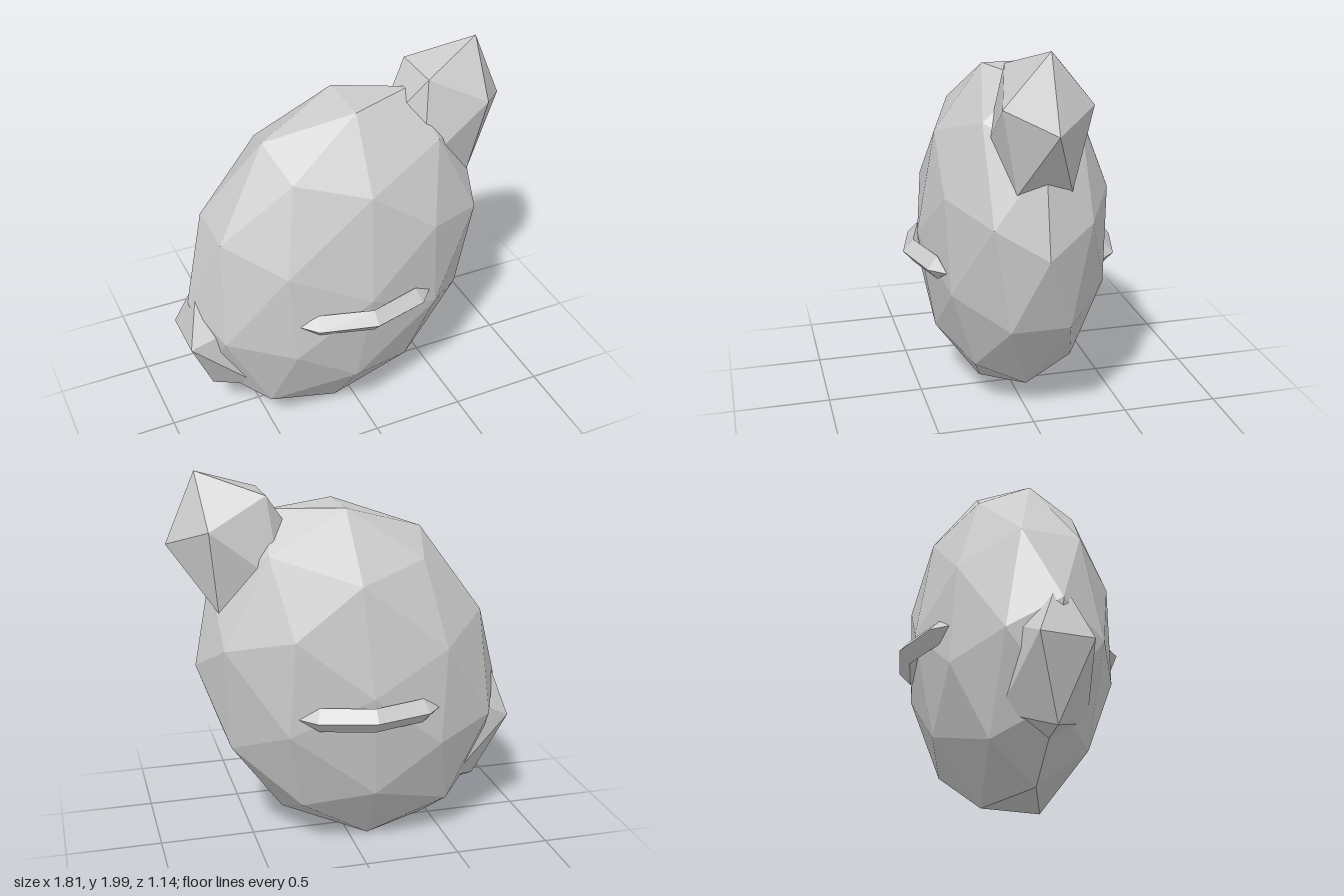
import * as THREE from 'three';

const material = new THREE.MeshStandardMaterial({ color: 0xcccccc, flatShading: true });

// Faceted ball, stretched and tilted in the xy plane by its two axes
function facetedBall(name, detail, center, xAxis, yAxis, depth) {
  const geometry = new THREE.IcosahedronGeometry(1, detail);
  geometry.applyMatrix4(new THREE.Matrix4().makeBasis(
    new THREE.Vector3(...xAxis, 0),
    new THREE.Vector3(...yAxis, 0),
    new THREE.Vector3(0, 0, depth)
  ));
  geometry.computeVertexNormals();
  const mesh = new THREE.Mesh(geometry, material);
  mesh.name = name;
  mesh.position.set(...center, 0);
  return mesh;
}

// Curved bar with a diamond cross-section and pointed ends
function sideBarGeometry() {
  // x, z, outward lean, radius
  const sections = [
    [-0.37, 0.41, 0, 0],
    [-0.27, 0.44, -0.4, 1],
    [0, 0.515, 0, 1],
    [0.27, 0.44, 0.4, 1],
    [0.37, 0.41, 0, 0],
  ];
  const positions = [];
  const index = [];
  for (const [x, z, lean, r] of sections) {
    for (let k = 0; k < 4; k++) {
      const out = Math.cos(k * Math.PI / 2) * 0.055 * r;
      const up = Math.sin(k * Math.PI / 2) * 0.063 * r;
      positions.push(x + out * lean, up, z + out);
    }
  }
  const last = sections.length - 2;
  for (let i = 0; i <= last; i++) {
    for (let k = 0; k < 4; k++) {
      const n = (k + 1) % 4;
      const a = i * 4 + k, b = a + 4, c = i * 4 + 4 + n, d = i * 4 + n;
      if (i < last) index.push(a, b, c);
      if (i > 0) index.push(a, c, d);
    }
  }
  const geometry = new THREE.BufferGeometry();
  geometry.setAttribute('position', new THREE.Float32BufferAttribute(positions, 3));
  geometry.setIndex(index);
  const flat = geometry.toNonIndexed();
  flat.computeVertexNormals();
  return flat;
}

export function createModel() {
  const model = new THREE.Group();
  model.name = 'model';

  // Main body with a knob at the upper corner and one at the lower corner
  model.add(
    facetedBall('body', 1, [-0.04, 0.903], [-0.377, 0.757], [-0.73, -0.575], 0.492),
    facetedBall('upperKnob', 0, [0.545, 1.592], [0.147, -0.341], [0.333, 0.266], 0.257),
    facetedBall('lowerKnob', 0, [-0.585, 0.542], [0.37, -0.072], [-0.027, 0.426], 0.257)
  );

  // Matching bars on the front and the back
  const bar = sideBarGeometry();
  ['frontBar', 'backBar'].forEach((name, i) => {
    const mesh = new THREE.Mesh(bar, material);
    mesh.name = name;
    mesh.position.set(-0.04, 0.803, 0);
    mesh.rotation.y = i * Math.PI;
    model.add(mesh);
  });

  return model;
}
